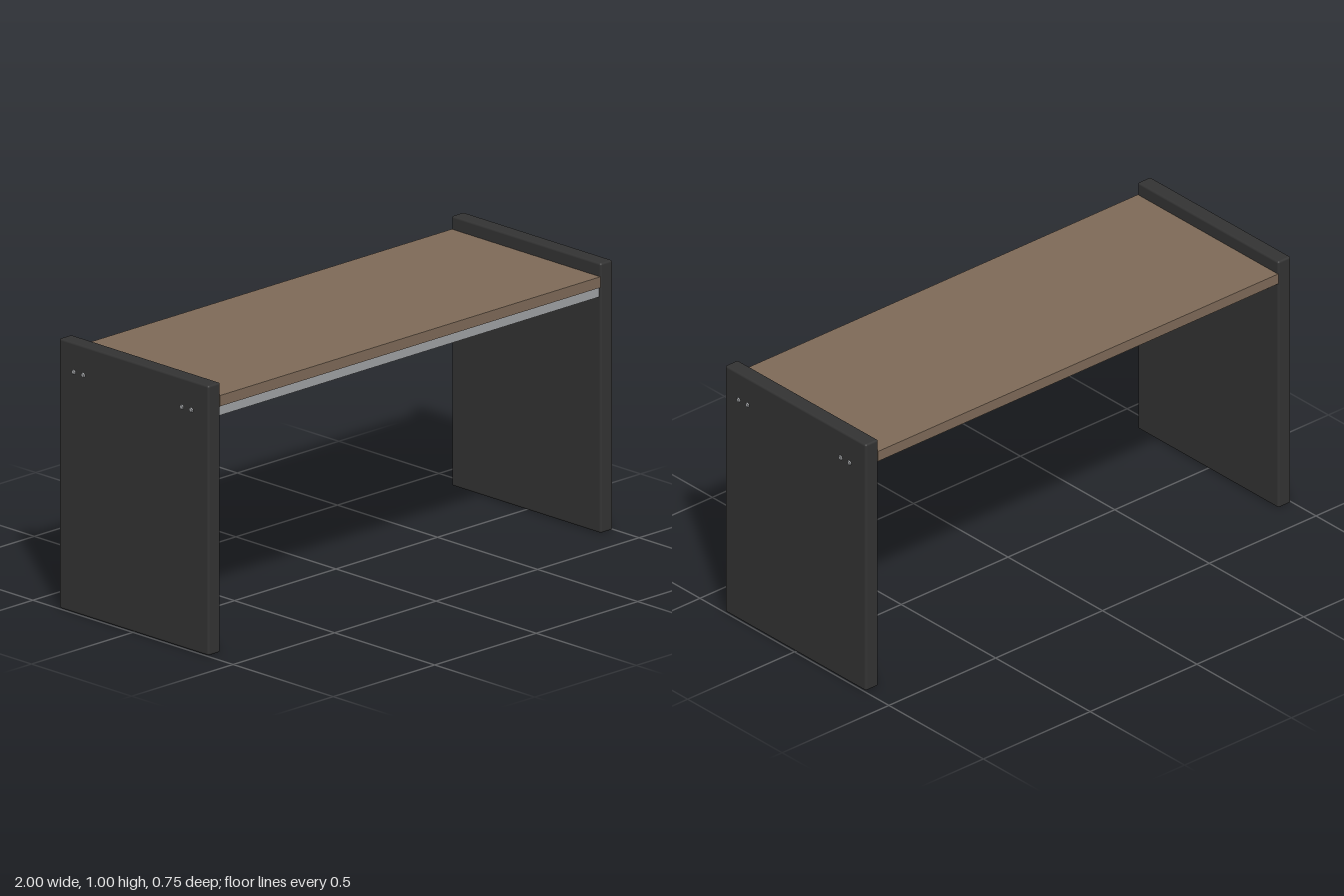
import * as THREE from 'three';
import { RoundedBoxGeometry } from 'three/addons/geometries/RoundedBoxGeometry.js';

function material(name, color) {
  const m = new THREE.MeshStandardMaterial({ color });
  m.name = name;
  return m;
}

export function createModel() {
  const model = new THREE.Group();
  model.name = 'bench';
  const charcoal = material('charcoal', 0x333333);
  const wood = material('brown wood', 0x7e6a58);
  const steel = material('grey steel', 0xa0a2a5);

  const add = (name, geometry, mat, x, y, z) => {
    const mesh = new THREE.Mesh(geometry, mat);
    mesh.name = name;
    mesh.position.set(x, y, z);
    model.add(mesh);
    return mesh;
  };

  // Seat board between the two end panels
  add('seat', new THREE.BoxGeometry(1.876, 0.04, 0.742), wood, 0, 0.929, 0);

  // Support rails under the seat
  const railGeometry = new THREE.BoxGeometry(1.876, 0.036, 0.08);
  add('frontRail', railGeometry, steel, 0, 0.891, 0.325);
  add('backRail', railGeometry, steel, 0, 0.891, -0.285);

  // End panels with softened edges, and the bolts through them
  const panelGeometry = new RoundedBoxGeometry(0.06, 0.998, 0.746, 3, 0.008);
  const boltGeometry = new THREE.CylinderGeometry(0.007, 0.01, 0.005, 12);
  boltGeometry.rotateZ(-Math.PI / 2);
  for (const side of [1, -1]) {
    const label = side > 0 ? 'left' : 'right';
    add(label + 'Panel', panelGeometry, charcoal, side * 0.966, 0.499, 0);
    for (const z of [0.30, 0.253, -0.24, -0.287]) {
      const bolt = add(label + 'Bolt', boltGeometry, steel, side * 0.9975, 0.89, side * z);
      if (side < 0) bolt.rotation.y = Math.PI;
    }
  }
  return model;
}
